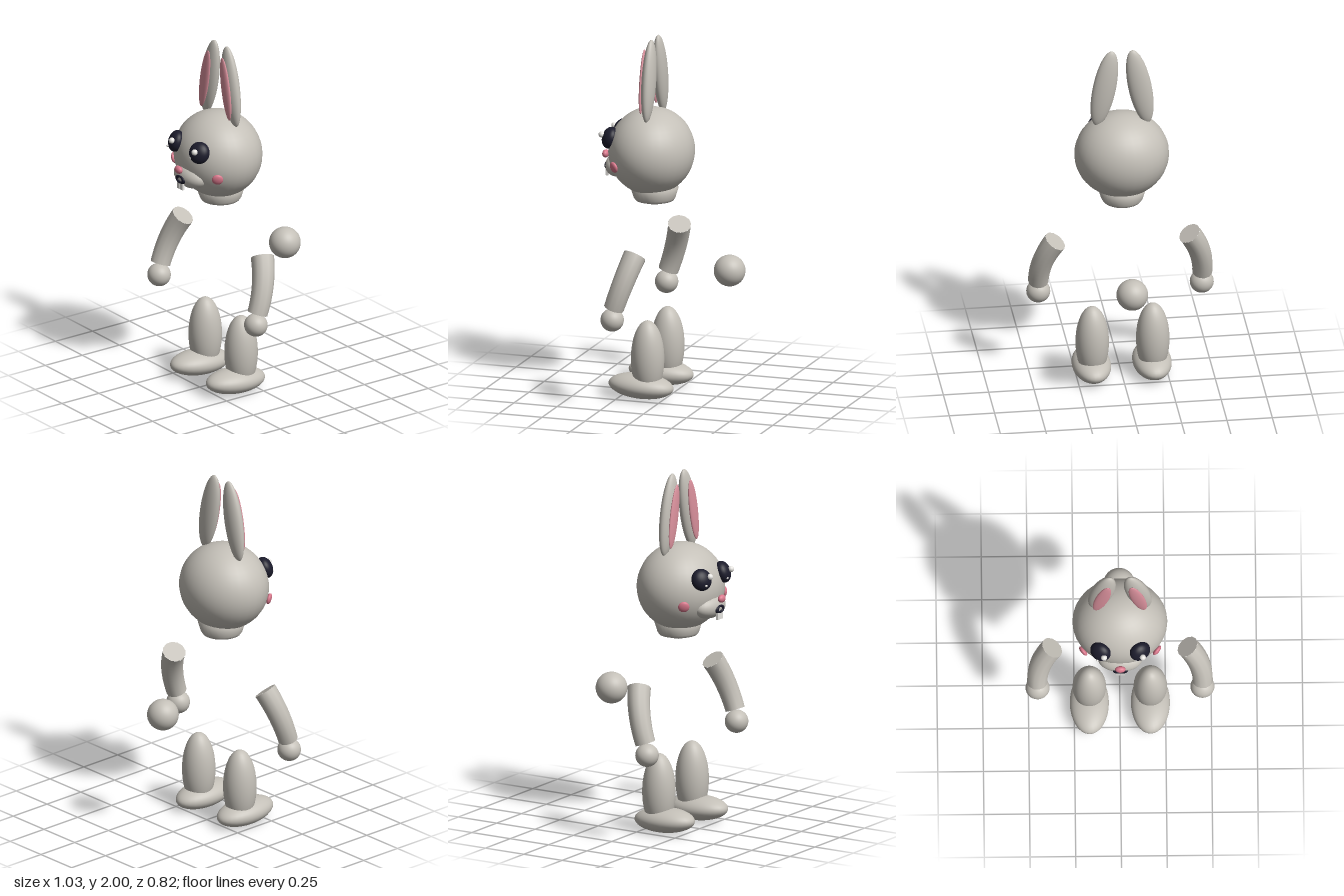
import * as THREE from 'three';

export function createModel() {
  const model = new THREE.Group();
  model.name = 'rabbit';
  const paint = (name, color) => {
    const m = new THREE.MeshStandardMaterial({ color });
    m.name = name;
    return m;
  };
  const fur = paint('warm grey fur', 0xc4c0b8);
  const earPink = paint('soft ear pink', 0xdc929e);
  const rose = paint('rose', 0xd9788c);
  const dark = paint('dark navy', 0x1c1c2c);
  const white = paint('white', 0xf2f0ec);

  const add = (name, geometry, material, pos = [0, 0, 0], scale = [1, 1, 1]) => {
    const mesh = new THREE.Mesh(geometry, material);
    mesh.name = name;
    mesh.position.set(...pos);
    mesh.scale.set(...scale);
    model.add(mesh);
    return mesh;
  };
  const ball = new THREE.SphereGeometry(1, 32, 24);
  const blob = (name, mat, pos, scale) => add(name, ball, mat, pos, scale);

  // Head and the tapered neck below it
  const headCentre = new THREE.Vector3(0, 1.36, 0.127);
  blob('head', fur, headCentre.toArray(), [0.26, 0.242, 0.235]);
  const neckProfile = [[0, 1.055], [0.105, 1.085], [0.115, 1.1], [0.132, 1.155], [0.1, 1.18]];
  add('neck', new THREE.LatheGeometry(neckProfile.map(p => new THREE.Vector2(...p)), 32), fur, [0, 0, 0.11]);

  // Muzzle, nose, mouth and teeth
  blob('muzzle', fur, [0, 1.27, 0.31], [0.122, 0.068, 0.075]);
  blob('nose', rose, [0, 1.321, 0.393], [0.029, 0.022, 0.018]);
  add('mouth', new THREE.TorusGeometry(0.029, 0.013, 12, 28), dark, [0, 1.261, 0.378], [1, 0.58, 0.9]);
  for (const s of [-1, 1]) {
    add('tooth', new THREE.BoxGeometry(0.023, 0.046, 0.014), white, [s * 0.0135, 1.227, 0.378]);
  }

  // Eye highlights fall on the same side of both eyes
  for (const x of [-0.106, 0.106]) {
    blob('eyeHighlight', white, [x + 0.017, 1.459, 0.374], [0.017, 0.017, 0.017]);
    blob('eyeGlint', white, [x - 0.02, 1.416, 0.374], [0.007, 0.007, 0.007]);
  }

  // Flattened blob whose thin axis points away from the head centre
  const onHead = (name, mat, pos, scale) => {
    const mesh = blob(name, mat, pos, scale);
    const out = mesh.position.clone().sub(headCentre).normalize();
    mesh.quaternion.setFromUnitVectors(new THREE.Vector3(0, 0, 1), out);
  };

  // Curved, slightly tapered arm with capped ends
  const addArm = s => {
    const curve = new THREE.QuadraticBezierCurve3(
      new THREE.Vector3(s * 0.37, 0.858, 0.095),
      new THREE.Vector3(s * 0.455, 0.725, 0.135),
      new THREE.Vector3(s * 0.452, 0.572, 0.188));
    const rings = 12, sides = 12;
    const tube = new THREE.TubeGeometry(curve, rings, 1, sides, false);
    const p = tube.attributes.position, v = new THREE.Vector3();
    for (let i = 0; i < p.count; i++) {
      const t = Math.floor(i / (sides + 1)) / rings;
      const c = curve.getPointAt(t);
      v.fromBufferAttribute(p, i).sub(c).multiplyScalar(0.064 - 0.008 * t).add(c);
      p.setXYZ(i, v.x, v.y, v.z);
    }
    add('arm', tube, fur);
    for (const t of [0, 1]) {
      const end = curve.getPointAt(t);
      const out = curve.getTangentAt(t).multiplyScalar(t ? 1 : -1);
      const cap = add('armEnd', new THREE.CircleGeometry(0.064 - 0.008 * t, sides), fur, end.toArray());
      cap.lookAt(end.clone().add(out));
    }
  };

  // Mirrored parts
  for (const s of [-1, 1]) {
    blob('ear', fur, [s * 0.098, 1.775, 0.109], [0.064, 0.229, 0.037]).rotation.z = s * 0.19;
    blob('innerEar', earPink, [s * 0.098, 1.77, 0.146], [0.038, 0.178, 0.013]).rotation.z = s * 0.19;
    onHead('eye', dark, [s * 0.108, 1.441, 0.331], [0.059, 0.061, 0.042]);
    onHead('cheek', rose, [s * 0.202, 1.3, 0.276], [0.031, 0.031, 0.014]);
    addArm(s);
    blob('hand', fur, [s * 0.451, 0.506, 0.198], [0.066, 0.064, 0.064]);
    blob('leg', fur, [s * 0.167, 0.228, 0.092], [0.092, 0.215, 0.092]);
    blob('foot', fur, [s * 0.167, 0.072, 0.13], [0.107, 0.069, 0.185]).rotation.x = -0.05;
  }

  // Round tail
  blob('tail', fur, [0, 0.72, -0.325], [0.087, 0.087, 0.087]);
  return model;
}
